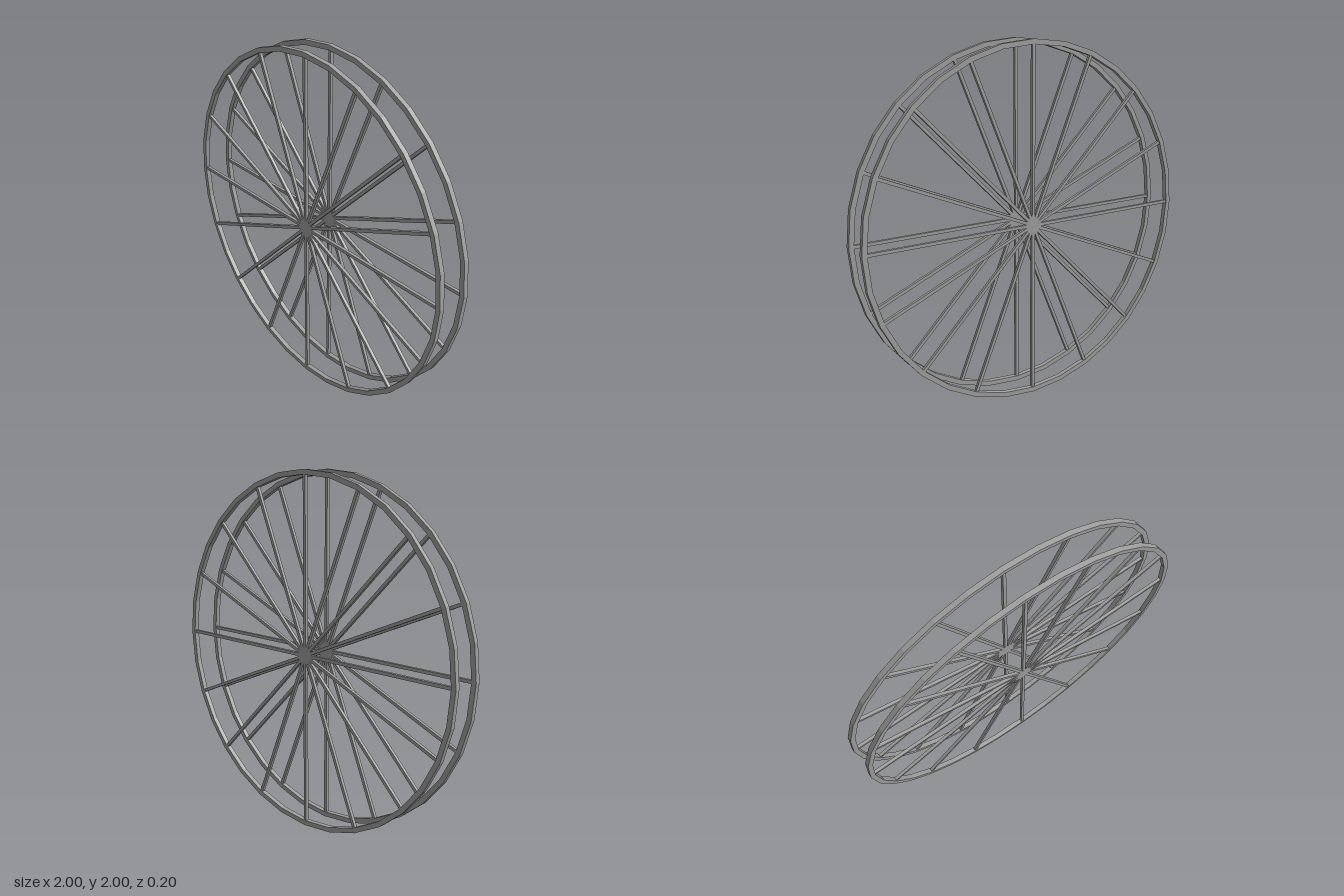
import * as THREE from 'three';

const RADIUS = 1, SIDES = 32, SPOKES = 16;
const RIM = 0.028;     // rim bar section
const SPOKE = 0.018;   // spoke bar section
const OFFSET = 0.084;  // distance of each wheel from the middle plane

// Regular polygon with a corner at +x
function polygon(PathType, radius) {
  const points = [];
  for (let i = 0; i < SIDES; i++) {
    const a = (i / SIDES) * Math.PI * 2;
    points.push(new THREE.Vector2(Math.cos(a) * radius, Math.sin(a) * radius));
  }
  return new PathType(points);
}

export function createModel() {
  const steel = new THREE.MeshStandardMaterial({ color: 0xa0a0a0 });
  steel.name = 'greySteel';

  // Square-section faceted rim
  const rimShape = polygon(THREE.Shape, RADIUS);
  rimShape.holes.push(polygon(THREE.Path, RADIUS - RIM));
  const rimGeometry = new THREE.ExtrudeGeometry(rimShape, { depth: RIM, bevelEnabled: false });
  rimGeometry.translate(0, 0, -RIM / 2);

  // Spoke running across the full diameter, ending inside the rim
  const spokeGeometry = new THREE.BoxGeometry(2 * (RADIUS - RIM / 2), SPOKE, SPOKE);

  const model = new THREE.Group();
  model.name = 'doubleSpokedWheel';
  for (const side of [1, -1]) {
    const wheel = new THREE.Group();
    wheel.name = side > 0 ? 'frontWheel' : 'backWheel';
    wheel.position.set(0, RADIUS, side * OFFSET);

    const rim = new THREE.Mesh(rimGeometry, steel);
    rim.name = 'rim';
    wheel.add(rim);

    for (let i = 0; i < SPOKES / 2; i++) {
      const spoke = new THREE.Mesh(spokeGeometry, steel);
      spoke.name = 'spokePair';
      spoke.rotation.z = (i / SPOKES) * Math.PI * 2;
      wheel.add(spoke);
    }
    model.add(wheel);
  }
  return model;
}
